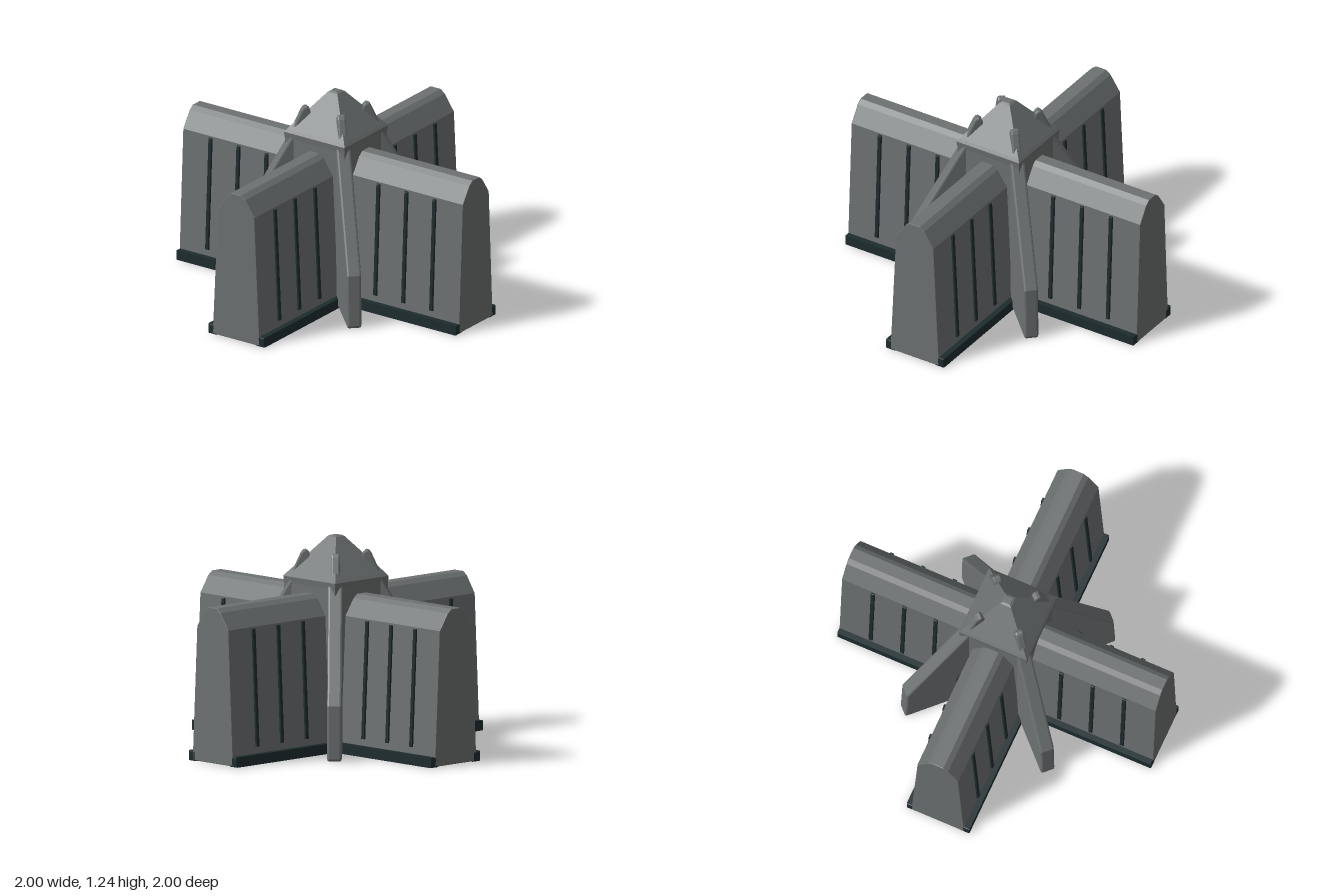
import * as THREE from 'three';

const grey = new THREE.MeshStandardMaterial({ color: 0x6d7172 });
grey.name = 'concreteGrey';
const dark = new THREE.MeshStandardMaterial({ color: 0x1d2c2e });
dark.name = 'darkTrim';

// Bevelled plate from an outline, centred on its thickness
function plate(points, depth, bevel) {
  const shape = new THREE.Shape(points.map(([x, y]) => new THREE.Vector2(x, y)));
  const geo = new THREE.ExtrudeGeometry(shape, {
    depth: depth - 2 * bevel, bevelEnabled: true, bevelThickness: bevel,
    bevelSize: bevel, bevelOffset: -bevel, bevelSegments: 2,
  });
  return geo.translate(0, 0, -depth / 2 + bevel);
}

// Square frustum given half widths
function frustum(bottom, top, y0, y1) {
  const geo = new THREE.CylinderGeometry(top * Math.SQRT2, bottom * Math.SQRT2, y1 - y0, 4)
    .rotateY(Math.PI / 4).translate(0, (y0 + y1) / 2, 0).toNonIndexed();
  geo.computeVertexNormals();
  return geo;
}

function add(parent, name, geo, mat) {
  const mesh = new THREE.Mesh(geo, mat);
  mesh.name = name;
  parent.add(mesh);
  return mesh;
}

export function createModel() {
  const model = new THREE.Group();
  model.name = 'crossBarrier';

  // Tapered wall with a chamfered ridge
  const half = [[0.168, 0.004], [0.13, 0.8], [0.065, 0.897], [0.035, 0.92]];
  const outline = [...half, ...half.map(([x, y]) => [-x, y]).reverse()];
  const wallGeo = plate(outline, 2, 0.004);
  const stripGeo = plate([[-0.03, 0], [0.03, 0], [0.03, 0.06], [-0.03, 0.06]], 2, 0.006);
  const slitGeo = plate([[-0.012, -0.345], [0.012, -0.345], [0.012, 0.345], [-0.012, 0.345]], 0.024, 0.004);
  const lean = Math.atan2(0.038, 0.796);

  for (let i = 0; i < 2; i++) {
    const wall = new THREE.Group();
    wall.name = i ? 'sideWall' : 'frontWall';
    wall.rotation.y = i * Math.PI / 2;
    model.add(wall);
    add(wall, 'wallBody', wallGeo, grey);
    for (const side of [-1, 1]) {
      add(wall, 'baseStrip', stripGeo, dark).position.x = side * 0.17;
      // Narrow upright ribs, leaning with the wall face
      for (const z of [-0.8, -0.6, -0.4, 0.4, 0.6, 0.8]) {
        const rib = add(wall, 'wallRib', slitGeo, dark);
        rib.position.set(side * 0.147, 0.445, z);
        rib.rotation.set(0, side * Math.PI / 2, side * lean, 'ZYX');
      }
    }
  }

  // Central tower and pyramid cap
  add(model, 'basePad', new THREE.BoxGeometry(0.4, 0.02, 0.4).translate(0, 0.011, 0), dark);
  add(model, 'column', frustum(0.213, 0.213, 0.005, 0.96), grey);
  add(model, 'columnCollar', frustum(0.213, 0.217, 0.96, 0.998), grey);
  add(model, 'capRim', frustum(0.217, 0.205, 0.998, 1.015), grey);
  add(model, 'capPyramid', frustum(0.205, 0.035, 1.015, 1.232), grey);
  add(model, 'capTip', frustum(0.035, 0.022, 1.232, 1.24), grey);

  // Diagonal buttresses and the small studs above them
  const finGeo = plate([[0.1, 0.007], [0.65, 0.007], [0.655, 0.02], [0.645, 0.33], [0.265, 0.985], [0.1, 0.985]], 0.085, 0.012);
  const studGeo = plate([[0.12, 1.0], [0.262, 1.01], [0.205, 1.135], [0.192, 1.152], [0.175, 1.155], [0.158, 1.14], [0.14, 1.08]], 0.05, 0.01);
  for (let i = 0; i < 4; i++) {
    const corner = new THREE.Group();
    corner.name = 'cornerButtress';
    corner.rotation.y = Math.PI / 4 + i * Math.PI / 2;
    add(corner, 'buttressFin', finGeo, grey);
    add(corner, 'capStud', studGeo, grey);
    model.add(corner);
  }
  return model;
}
